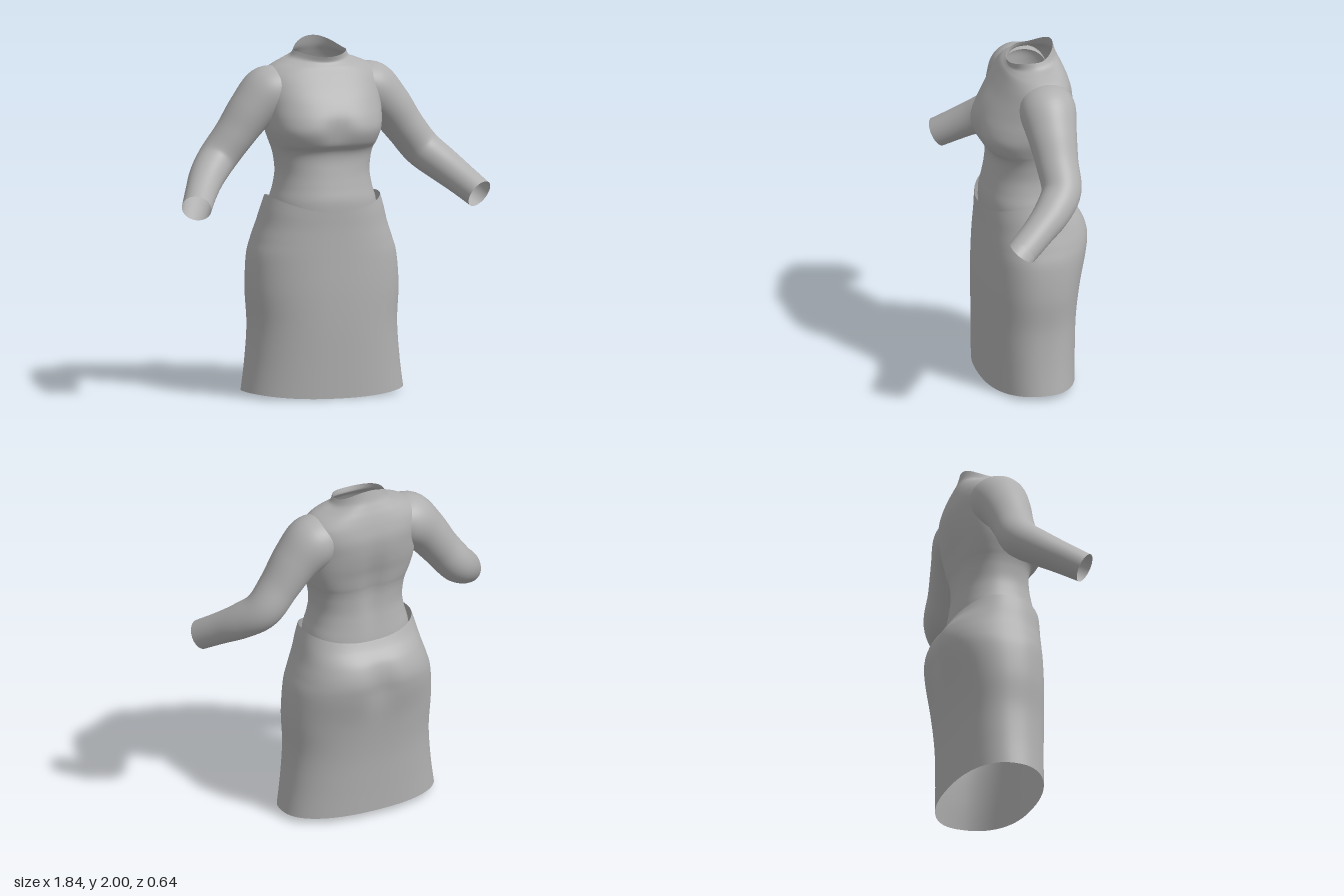
import * as THREE from 'three';

const SEG = 72;

// Smooth (Catmull-Rom) interpolation through rows of section values
function sampleRows(rows, t) {
  const f = t * (rows.length - 1);
  const i = Math.min(Math.floor(f), rows.length - 2);
  const u = f - i;
  const at = (k) => rows[Math.max(0, Math.min(rows.length - 1, k))];
  return rows[0].map((_, c) => {
    const [p0, p1, p2, p3] = [at(i - 1)[c], at(i)[c], at(i + 1)[c], at(i + 2)[c]];
    const m1 = (p2 - p0) / 2, m2 = (p3 - p1) / 2;
    return (2 * u ** 3 - 3 * u * u + 1) * p1 + (u ** 3 - 2 * u * u + u) * m1 +
      (-2 * u ** 3 + 3 * u * u) * p2 + (u ** 3 - u * u) * m2;
  });
}

// Open tube of closed rings; point(t, angle) returns [x, y, z]
function loft(name, material, steps, point) {
  const pos = [], index = [];
  for (let i = 0; i <= steps; i++) {
    for (let j = 0; j < SEG; j++) {
      pos.push(...point(i / steps, (j / SEG) * Math.PI * 2));
      if (i === steps) continue;
      const k = (j + 1) % SEG;
      const a = i * SEG + j, b = i * SEG + k, c = a + SEG, d = b + SEG;
      index.push(a, c, b, b, c, d);
    }
  }
  const geo = new THREE.BufferGeometry();
  geo.setAttribute('position', new THREE.Float32BufferAttribute(pos, 3));
  geo.setIndex(index);
  geo.computeVertexNormals();
  const mesh = new THREE.Mesh(geo, material);
  mesh.name = name;
  return mesh;
}

// Rows: y, half width, front z, back z, middle z, roundness, front drop, back drop
function bodyLoft(name, material, rows, steps, relief) {
  return loft(name, material, steps, (t, a) => {
    const [y, hw, zf, zb, zm, n, df, db] = sampleRows(rows, t);
    const c = Math.cos(a), s = Math.sin(a);
    const p = (v) => Math.sign(v) * Math.abs(v) ** (2 / n);
    const x = hw * p(c);
    const z = zm + (s > 0 ? zf - zm : zm - zb) * p(s);
    return [x, y - s * s * (s > 0 ? df : db), z + relief(x, y, s)];
  });
}

const bell = (v, mid, width) => Math.exp(-(((v - mid) / width) ** 2));

export function createModel() {
  const model = new THREE.Group();
  model.name = 'dressedTorso';
  const cloth = new THREE.MeshStandardMaterial({ color: 0xb0b0b0, side: THREE.DoubleSide });
  cloth.name = 'grey cloth';

  // Skirt, with a shallow cleft at the back of the hips
  model.add(bodyLoft('skirt', cloth, [
    [0.03, 0.47, 0.27, -0.245, 0.0, 2.3, 0.03, 0],
    [0.2, 0.447, 0.275, -0.25, 0.0, 2.3, 0.015, 0],
    [0.4, 0.432, 0.28, -0.26, 0.0, 2.3, 0, 0],
    [0.6, 0.441, 0.28, -0.285, 0.0, 2.3, 0, 0],
    [0.78, 0.428, 0.275, -0.325, 0.0, 2.3, 0, 0],
    [0.88, 0.4, 0.272, -0.335, 0.0, 2.3, 0, 0],
    [0.97, 0.37, 0.27, -0.305, 0.0, 2.3, 0.015, 0],
    [1.06, 0.348, 0.27, -0.245, 0.0, 2.3, 0.045, 0.02],
    [1.13, 0.327, 0.27, -0.215, 0.0, 2.3, 0.075, 0.045],
  ], 56, (x, y, s) => (s < 0 ? 0.03 * s * s * bell(x, 0, 0.08) * bell(y, 0.84, 0.14) : 0)));

  // Top: waist, bust, shoulders and raised neckline
  model.add(bodyLoft('bodice', cloth, [
    [1.0, 0.31, 0.25, -0.225, 0.0, 2.3, 0, 0],
    [1.1, 0.302, 0.25, -0.212, 0.0, 2.3, 0, 0],
    [1.18, 0.28, 0.235, -0.2, 0.0, 2.3, 0, 0],
    [1.26, 0.268, 0.22, -0.19, 0.0, 2.3, 0, 0],
    [1.34, 0.275, 0.21, -0.188, 0.0, 2.4, 0, 0],
    [1.39, 0.286, 0.222, -0.192, 0.0, 2.5, 0, 0],
    [1.43, 0.3, 0.262, -0.2, 0.0, 2.6, 0, 0],
    [1.5, 0.324, 0.288, -0.213, 0.0, 2.6, 0, 0],
    [1.57, 0.335, 0.275, -0.23, -0.01, 2.5, 0, 0],
    [1.65, 0.34, 0.235, -0.243, -0.02, 2.4, 0, 0],
    [1.73, 0.345, 0.185, -0.245, -0.03, 2.4, 0, 0],
    [1.8, 0.34, 0.145, -0.23, -0.04, 2.3, 0, 0],
    [1.85, 0.29, 0.12, -0.21, -0.04, 2.2, 0.005, -0.01],
    [1.88, 0.225, 0.104, -0.19, -0.04, 2.1, 0.015, -0.025],
    [1.9, 0.172, 0.096, -0.172, -0.035, 2, 0.02, -0.045],
    [1.935, 0.15, 0.103, -0.157, -0.03, 2, 0.028, -0.065],
  ], 80, (x, y, s) => (s > 0
    ? -0.022 * s * bell(x, 0, 0.08) * bell(y, 1.5, 0.07)
    : 0.02 * s * s * bell(x, 0, 0.055) * bell(y, 1.42, 0.24))));

  // Sleeves: x, y, z of the centre line, then radius across and radius in depth
  const sleeveRows = [
    [0.2, 1.745, -0.045, 0.11, 0.14],
    [0.3, 1.705, -0.045, 0.152, 0.16],
    [0.41, 1.605, -0.04, 0.13, 0.14],
    [0.51, 1.475, -0.04, 0.113, 0.12],
    [0.61, 1.35, -0.035, 0.108, 0.112],
    [0.7, 1.265, 0.045, 0.1, 0.103],
    [0.775, 1.19, 0.15, 0.09, 0.09],
    [0.845, 1.115, 0.262, 0.083, 0.085],
  ];
  for (const [side, name] of [[1, 'leftSleeve'], [-1, 'rightSleeve']]) {
    const centre = (t) => {
      const [x, y, z] = sampleRows(sleeveRows, t);
      return new THREE.Vector3(x * side, y, z);
    };
    model.add(loft(name, cloth, 42, (t, a) => {
      const [, , , across, depth] = sampleRows(sleeveRows, t);
      const along = centre(Math.min(1, t + 0.04)).sub(centre(Math.max(0, t - 0.04))).normalize();
      const out = new THREE.Vector3(0, 0, 1).addScaledVector(along, -along.z).normalize();
      const over = new THREE.Vector3().crossVectors(along, out);
      return centre(t).addScaledVector(over, across * Math.cos(a))
        .addScaledVector(out, depth * Math.sin(a)).toArray();
    }));
  }
  return model;
}
